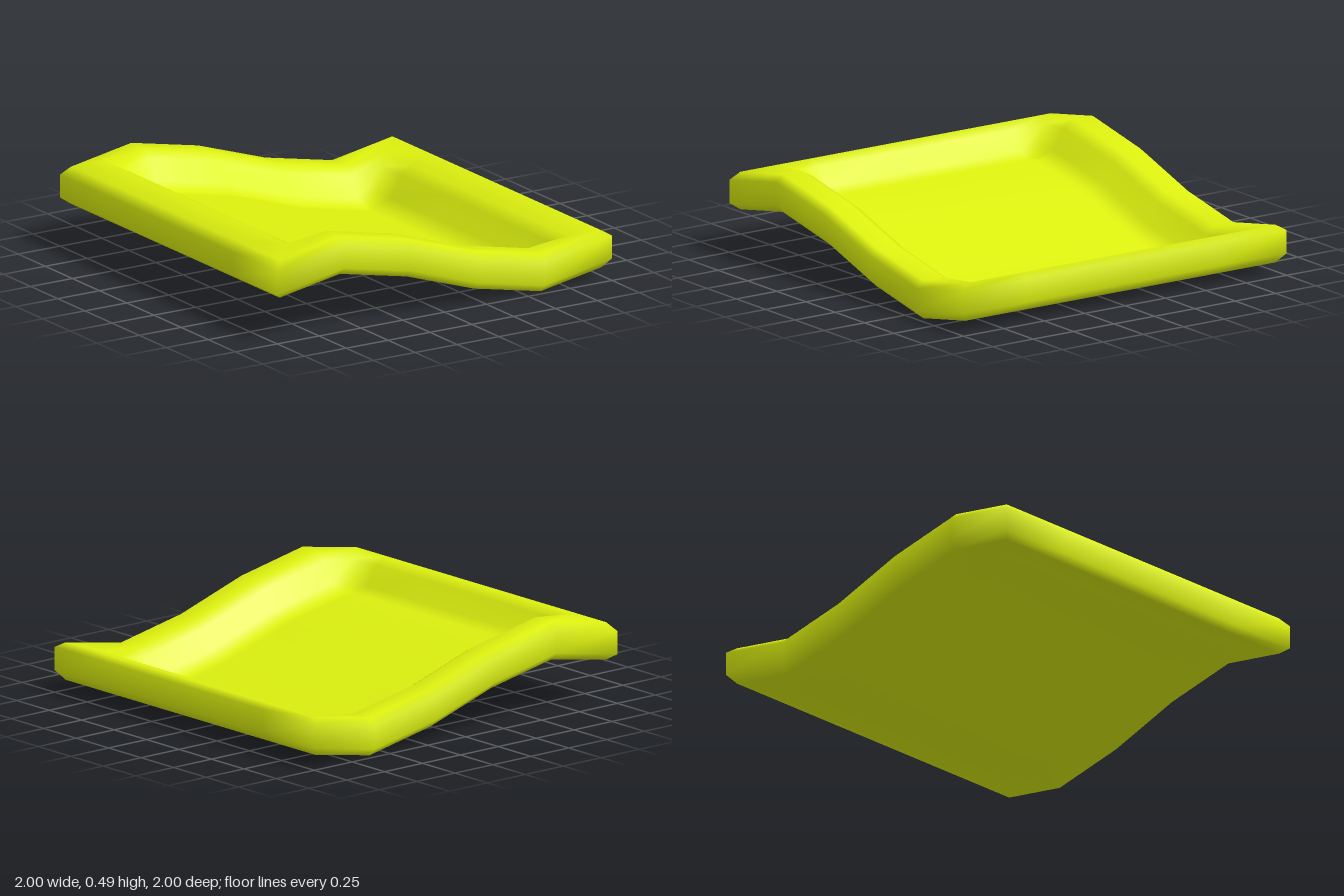
import * as THREE from 'three';
import { mergeVertices } from 'three/addons/utils/BufferGeometryUtils.js';

// Lengthwise wave: an odd, piecewise-linear bend around mid height
const WAVE = [[0, 0], [0.2, 0.065], [0.6, 0.145], [0.84, 0.12], [0.96, 0.08], [1, 0.07]];
function wave(x) {
  const a = Math.abs(x);
  for (let i = 1; i < WAVE.length; i++) {
    const [x0, y0] = WAVE[i - 1], [x1, y1] = WAVE[i];
    if (a <= x1 + 1e-6) return 0.15 - Math.sign(x) * (y0 + (y1 - y0) * (a - x0) / (x1 - x0));
  }
  return 0.15;
}

// Tray section from underside, around the rim, to the floor: [half size, height]
const PROFILE = [
  [0.78, 0], [0.96, 0], [1, 0.04], [1, 0.16], [0.96, 0.195],
  [0.84, 0.195], [0.78, 0.16], [0.72, 0.055], [0.65, 0.02],
];

const stops = (h) => [-h, -0.6, -0.2, 0.2, 0.6, h];
const point = (x, y, z) => new THREE.Vector3(x, y + wave(x), z);

// Square loop of points, counterclockwise from above
function squareLoop([h, y]) {
  const pts = [];
  for (const s of stops(h).slice(0, -1)) pts.push(point(s, y, h));
  for (const s of stops(h).slice(0, -1)) pts.push(point(h, y, -s));
  for (const s of stops(h).slice(0, -1)) pts.push(point(-s, y, -h));
  for (const s of stops(h).slice(0, -1)) pts.push(point(-h, y, s));
  return pts;
}

function trayGeometry() {
  const pos = [];
  const quad = (a, b, c, d) => {
    for (const p of [a, b, c, a, c, d]) pos.push(p.x, p.y, p.z);
  };

  // Rim walls between successive loops
  const loops = PROFILE.map(squareLoop);
  for (let k = 0; k + 1 < loops.length; k++) {
    const lo = loops[k], hi = loops[k + 1], n = lo.length;
    for (let i = 0; i < n; i++) {
      const j = (i + 1) % n;
      quad(lo[i], lo[j], hi[j], hi[i]);
    }
  }

  // Wavy floor and underside
  const cap = ([h, y], up) => {
    const s = stops(h);
    for (let i = 0; i < 5; i++) {
      for (let j = 0; j < 5; j++) {
        const a = point(s[i], y, s[j + 1]), b = point(s[i + 1], y, s[j + 1]);
        const c = point(s[i + 1], y, s[j]), d = point(s[i], y, s[j]);
        if (up) quad(a, b, c, d);
        else quad(d, c, b, a);
      }
    }
  };
  cap(PROFILE[0], false);
  cap(PROFILE[PROFILE.length - 1], true);

  const geo = new THREE.BufferGeometry();
  geo.setAttribute('position', new THREE.Float32BufferAttribute(pos, 3));
  const smooth = mergeVertices(geo, 1e-4);
  smooth.computeVertexNormals();
  return smooth;
}

export function createModel() {
  const group = new THREE.Group();
  group.name = 'wavyTray';
  const tray = new THREE.Mesh(trayGeometry(), new THREE.MeshStandardMaterial({ color: 0xdcf00f }));
  tray.name = 'tray';
  group.add(tray);
  return group;
}
